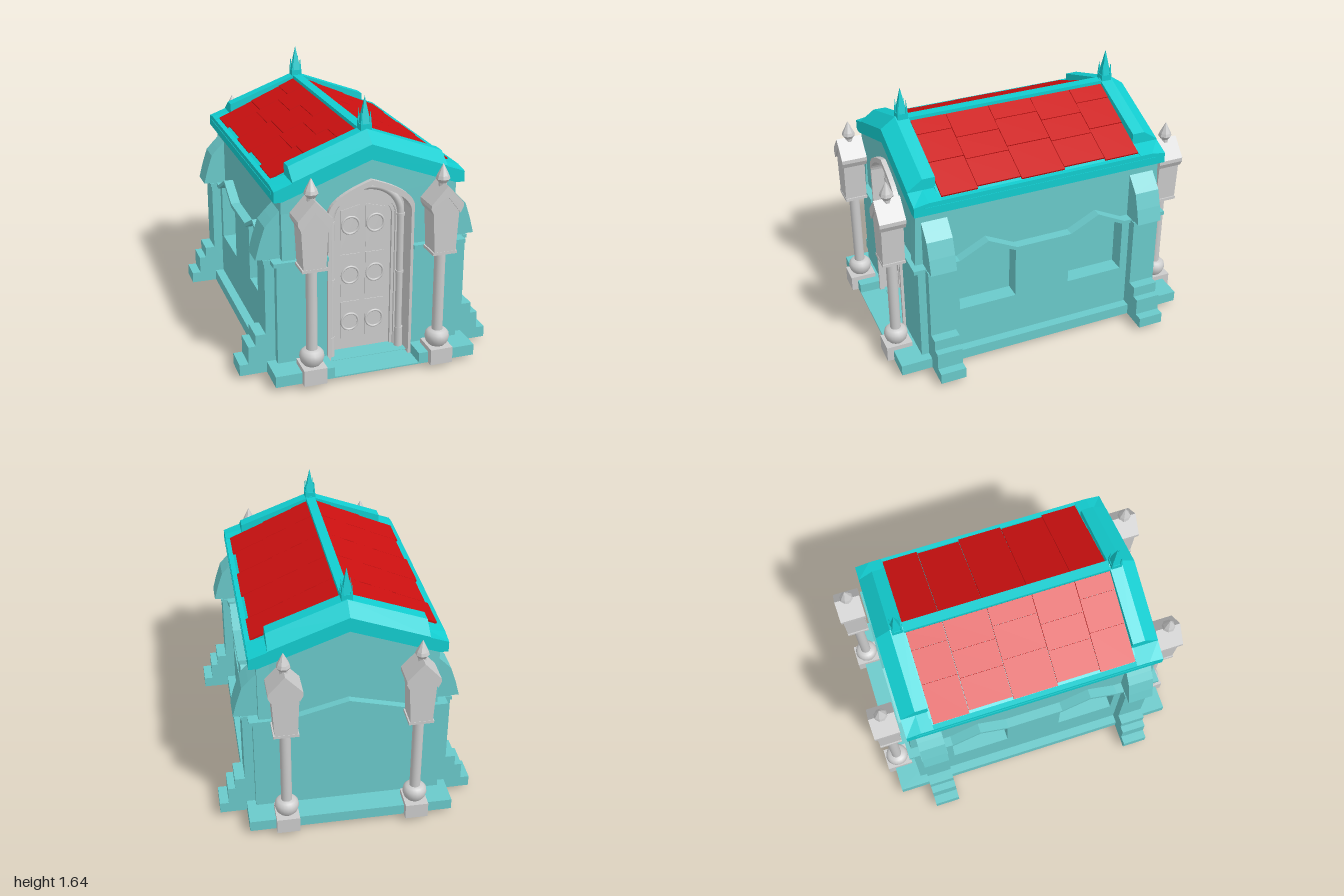
import * as THREE from 'three';

const mat = (color, flat = true) => new THREE.MeshStandardMaterial({ color, flatShading: flat, side: THREE.DoubleSide });
const wallMat = mat(0x6ac9ca), trimMat = mat(0x12cdd0), tileMat = mat(0xcc1010);
const stone = mat(0xcccccc), roundStone = mat(0xcccccc, false);

const add = (parent, name, geo, material, x = 0, y = 0, z = 0) => {
  const m = new THREE.Mesh(geo, material);
  m.name = name;
  m.position.set(x, y, z);
  parent.add(m);
  return m;
};
const group = (parent, name) => {
  const g = new THREE.Group();
  g.name = name;
  parent.add(g);
  return g;
};
const box = (w, h, d) => new THREE.BoxGeometry(w, h, d);
const poly = pts => new THREE.Shape(pts.map(p => new THREE.Vector2(...p)));
// Outline symmetric about x = 0, given its right half from bottom to top
const mirrored = half => [...half, ...half.filter(p => p[0] !== 0).reverse().map(([x, y]) => [-x, y])];
// Slab with an outline in x,y between two z values
const slab = (shape, z0, z1) =>
  new THREE.ExtrudeGeometry(shape, { depth: z1 - z0, bevelEnabled: false, curveSegments: 10 }).translate(0, 0, z0);
// Slab with an outline in z,y between two x values
const sideSlab = (pts, x0, x1) => slab(poly(pts), x0, x1).rotateY(Math.PI / 2);
// Band that follows a line of points
const band = pts => [...pts, ...[...pts].reverse().map(([x, y]) => [x, y - 0.025])];

// Pointed arch outline, traced onto a shape or a hole
function arch(path, w, bottom, spring, apex) {
  const cy = spring + (apex - spring) * 0.55;
  path.moveTo(-w, bottom);
  path.lineTo(w, bottom);
  path.lineTo(w, spring);
  path.quadraticCurveTo(w * 0.93, cy, 0, apex);
  path.quadraticCurveTo(-w * 0.93, cy, -w, spring);
  path.lineTo(-w, bottom);
  return path;
}
function archRing(outer, inner) {
  const s = arch(new THREE.Shape(), ...outer);
  s.holes.push(arch(new THREE.Path(), ...inner));
  return s;
}

function buildWalls(root) {
  const g = group(root, 'walls');
  // Plinth with a gap in front of the door
  add(g, 'floor', box(1.25, 0.008, 1.91), wallMat, 0, 0.034, 0);
  const plinth = poly([[-0.625, 0.955], [-0.625, -0.955], [0.265, -0.955], [0.265, -0.66],
    [-0.265, -0.66], [-0.265, -0.955]].slice(0, 2).concat([[-0.265, -0.955], [-0.265, -0.66],
    [0.265, -0.66], [0.265, -0.955], [0.625, -0.955], [0.625, 0.955]]));
  add(g, 'plinth', slab(plinth, 0.032, 0.1).rotateX(-Math.PI / 2), wallMat);

  const gable = w => mirrored([[w, 0.05], [w, 1.13], [0, 1.33]]);
  add(g, 'core', slab(poly(gable(0.47)), -0.78, 0.66), wallMat);
  add(g, 'backWall', slab(poly(gable(0.535)), -0.79, -0.66), wallMat);
  const hole = () => arch(new THREE.Path(), 0.255, 0.052, 1.0, 1.175);
  const front = poly(gable(0.535));
  front.holes.push(hole());
  add(g, 'frontWall', slab(front, 0.66, 0.795), wallMat);

  // Thicker lower walls at front and back
  for (const s of [-1, 1])
    add(g, 'frontLowerWall', box(0.31, 0.64, 0.147), wallMat, s * 0.415, 0.42, 0.7335);
  const backLine = [[0.57, 0.74], [0.35, 0.74], [0, 0.83]];
  add(g, 'backLowerWall', slab(poly(mirrored([[0.57, 0.1], ...backLine])), -0.807, -0.66), wallMat);

  // Side walls with two window recesses each
  const zig = [[-0.81, 0.74], [-0.55, 0.74], [-0.365, 0.835], [-0.18, 0.74],
    [0.18, 0.74], [0.365, 0.835], [0.55, 0.74], [0.81, 0.74]];
  const lower = mirrored([[0.68, 0.1], [0.68, 0.74], [0.55, 0.74], [0.55, 0.375], [0.18, 0.375], [0.18, 0.74]]);
  const upper = [...zig, [0.79, 1.13], [-0.79, 1.13]];
  for (const s of [0, 1]) {
    const side = group(g, s ? 'rightSide' : 'leftSide');
    side.rotation.y = s * Math.PI;
    add(side, 'lowerWall', sideSlab(lower, 0.46, 0.57), wallMat);
    add(side, 'upperWall', sideSlab(upper, 0.46, 0.535), wallMat);
    add(side, 'ledge', sideSlab(band(zig.map(([z, y]) => [z, y + 0.012])), 0.47, 0.595), wallMat);
  }
  // Ledges at front and back
  for (const s of [-1, 1]) add(g, 'frontLedge', box(0.33, 0.025, 0.05), wallMat, s * 0.43, 0.74, 0.812);
  const backLedge = [[-0.595, 0.752], [-0.35, 0.752], [0, 0.842], [0.35, 0.752], [0.595, 0.752]];
  add(g, 'backLedge', slab(poly(band(backLedge)), -0.835, -0.78), wallMat);

  // Stepped buttresses with overhanging caps
  const buttress = [[0.47, 0.03], [0.79, 0.03], [0.79, 0.1], [0.735, 0.1], [0.735, 0.21], [0.69, 0.21],
    [0.69, 0.28], [0.628, 0.28], [0.628, 0.755], [0.68, 0.755], [0.655, 0.85], [0.622, 0.95],
    [0.58, 0.995], [0.535, 1.04], [0.47, 1.04]];
  for (const turn of [0, Math.PI]) for (const z of [-0.76, 0.6]) {
    const b = add(g, 'buttress', slab(poly(buttress), z, z + 0.16), wallMat);
    b.rotation.y = turn;
    const l = add(g, 'buttressLedge', box(0.1, 0.022, 0.17), wallMat, turn ? -0.587 : 0.587, 0.738, z + 0.08);
    l.rotation.y = turn;
  }
}

function buildRoof(root) {
  const g = group(root, 'roof');
  const body = mirrored([[0.53, 1.11], [0.58, 1.11], [0.58, 1.19], [0.55, 1.19], [0, 1.42]]);
  add(g, 'roofBody', slab(poly(body), -0.65, 0.65), trimMat);
  add(g, 'ridge', box(0.06, 0.03, 1.3), trimMat, 0, 1.438, 0);
  for (const s of [-1, 1]) add(g, 'eaveMoulding', box(0.006, 0.022, 1.5), trimMat, s * 0.58, 1.15, 0);

  // Raised gables, bevelled toward their outer face, with a spiked finial
  const top = [[0.53, 1.11], [0.58, 1.11], [0.58, 1.19], [0.47, 1.215], [0.47, 1.285], [0, 1.46]];
  const outline = poly([...mirrored(top), [0, 1.305]]);
  for (const turn of [0, Math.PI]) {
    const end = group(g, 'gable');
    end.rotation.y = turn;
    add(end, 'gableTop', slab(outline, 0.642, 0.72), trimMat);
    const bevel = slab(outline, 0.72, 0.812), p = bevel.attributes.position;
    for (let i = 0; i < p.count; i++) {
      if (p.getZ(i) < 0.8) continue;
      const y = p.getY(i);
      if (y > 1.4) p.setY(i, 1.395);
      else if (y > 1.25 && Math.abs(p.getX(i)) > 0.4) p.setY(i, 1.22);
      else if (Math.abs(y - 1.19) < 0.01) p.setY(i, 1.175);
    }
    bevel.computeVertexNormals();
    add(end, 'gableBevel', bevel, trimMat);

    add(end, 'finialBase', box(0.066, 0.07, 0.066), trimMat, 0, 1.45, 0.68);
    const spike = (r, h) => new THREE.ConeGeometry(r, h, 4).rotateY(Math.PI / 4).translate(0, h / 2, 0);
    add(end, 'finialSpire', spike(0.042, 0.165), trimMat, 0, 1.48, 0.68);
    for (const x of [-0.026, 0.026]) for (const z of [-0.026, 0.026])
      add(end, 'finialSpike', spike(0.01, 0.09), trimMat, x, 1.48, 0.68 + z);
  }

  // Strips of tiles with staggered joints
  const edges = [-0.64, -0.415, -0.145, 0.135, 0.41, 0.636];
  const joints = [[0, 0.2, 0.57, 1], [0, 0.33, 0.62, 0.97]];
  const run = 0.52, rise = 0.235, length = Math.hypot(run, rise);
  for (const turn of [0, Math.PI]) {
    const side = group(g, 'tiles');
    side.rotation.y = turn;
    const slope = group(side, 'tileSlope');
    slope.position.set(0.028, 1.425, 0);
    slope.rotation.z = -Math.atan2(rise, run);
    for (let c = 0; c < 5; c++) {
      const j = joints[c % 2];
      for (let k = 0; k + 1 < j.length; k++) {
        const a = j[k] * length, b = j[k + 1] * length, z0 = edges[c], z1 = edges[c + 1];
        const t = add(slope, 'tile', box(b - a - 0.002, 0.02, z1 - z0 - 0.003), tileMat, (a + b) / 2, 0, (z0 + z1) / 2);
        t.rotation.z = 0.02;
      }
    }
  }
}

function buildDoor(root) {
  const g = group(root, 'doorway');
  add(g, 'outerFrame', slab(archRing([0.265, 0.032, 1.01, 1.188], [0.247, 0.033, 0.98, 1.155]), 0.66, 0.825), stone);
  add(g, 'innerFrame', slab(archRing([0.25, 0.032, 0.99, 1.16], [0.195, 0.034, 0.93, 1.09]), 0.66, 0.705), stone);
  add(g, 'doorArch', slab(archRing([0.196, 0.034, 0.93, 1.09], [0.178, 0.036, 0.92, 1.06]), 0.66, 0.69), stone);
  add(g, 'doorLeaf', slab(arch(new THREE.Shape(), 0.18, 0.036, 0.92, 1.06), 0.655, 0.672), stone);

  // Round moulding running up and over the door
  const path = new THREE.CurvePath();
  const v = (x, y) => new THREE.Vector3(x, y, 0.728);
  const arc = Array.from({ length: 17 }, (_, i) => {
    const a = Math.PI * i / 16;
    return v(0.218 * Math.cos(a), 0.92 + 0.2 * Math.sin(a));
  });
  path.add(new THREE.LineCurve3(v(0.218, 0.1), arc[0]));
  path.add(new THREE.CatmullRomCurve3(arc));
  path.add(new THREE.LineCurve3(arc[16], v(-0.218, 0.1)));
  add(g, 'archMoulding', new THREE.TubeGeometry(path, 90, 0.021, 10), roundStone);
  for (const s of [-1, 1]) {
    add(g, 'mouldingFoot', new THREE.CylinderGeometry(0.026, 0.027, 0.18, 14), roundStone, s * 0.22, 0.09, 0.728);
    for (const y of [0.55, 0.92])
      add(g, 'mouldingCollar', new THREE.CylinderGeometry(0.025, 0.025, 0.015, 14), roundStone, s * 0.218, y, 0.728);

    // Sunken-look panels with ring ornaments
    for (const [y0, y1, ring] of [[0.087, 0.37, 0.235], [0.405, 0.68, 0.545], [0.715, 0.96, 0.865]]) {
      const panel = poly([[0.018, y0], [0.138, y0], [0.138, y1], [0.018, y1 + (y1 > 0.9 ? 0.03 : 0)]].map(([x, y]) => [s * x, y]));
      add(g, 'doorPanel', slab(panel, 0.66, 0.677), stone);
      add(g, 'doorRing', new THREE.TorusGeometry(0.053, 0.007, 8, 28), roundStone, s * 0.078, ring, 0.679);
    }
  }
}

function buildPillar(root, x, z) {
  const g = group(root, 'lanternPillar');
  g.position.set(x, 0, z);
  add(g, 'pillarBase', box(0.14, 0.1, 0.165), stone, 0, 0.08, 0);
  const bulb = [[0.05, 0.13], [0.066, 0.15], [0.074, 0.18], [0.07, 0.205], [0.055, 0.222], [0.033, 0.228]];
  add(g, 'pillarBulb', new THREE.LatheGeometry(bulb.map(p => new THREE.Vector2(...p)), 20), roundStone);
  add(g, 'pillarShaft', new THREE.CylinderGeometry(0.033, 0.033, 0.55, 18), roundStone, 0, 0.475, 0);
  // Lantern: tapered case under a small gabled roof and a spire
  add(g, 'lanternSill', box(0.15, 0.018, 0.14), stone, 0, 0.748, 0);
  add(g, 'lanternCase', slab(poly(mirrored([[0.066, 0.74], [0.08, 1.02], [0, 1.12]])), -0.068, 0.068), stone);
  const roof = [...mirrored([[0.082, 0.995], [0.1, 1.03], [0.1, 1.055], [0, 1.165]]), [0, 1.1]];
  add(g, 'lanternRoof', slab(poly(roof), -0.08, 0.08), stone);
  const spire = [[0.024, 1.1], [0.024, 1.16], [0.042, 1.185], [0.036, 1.205], [0.001, 1.275]];
  add(g, 'lanternSpire', new THREE.LatheGeometry(spire.map(p => new THREE.Vector2(...p)), 8, Math.PI / 8), stone);
}

export function createModel() {
  const root = new THREE.Group();
  root.name = 'mausoleum';
  buildWalls(root);
  buildRoof(root);
  buildDoor(root);
  for (const x of [-0.395, 0.395]) for (const z of [-0.918, 0.914]) buildPillar(root, x, z);
  return root;
}
